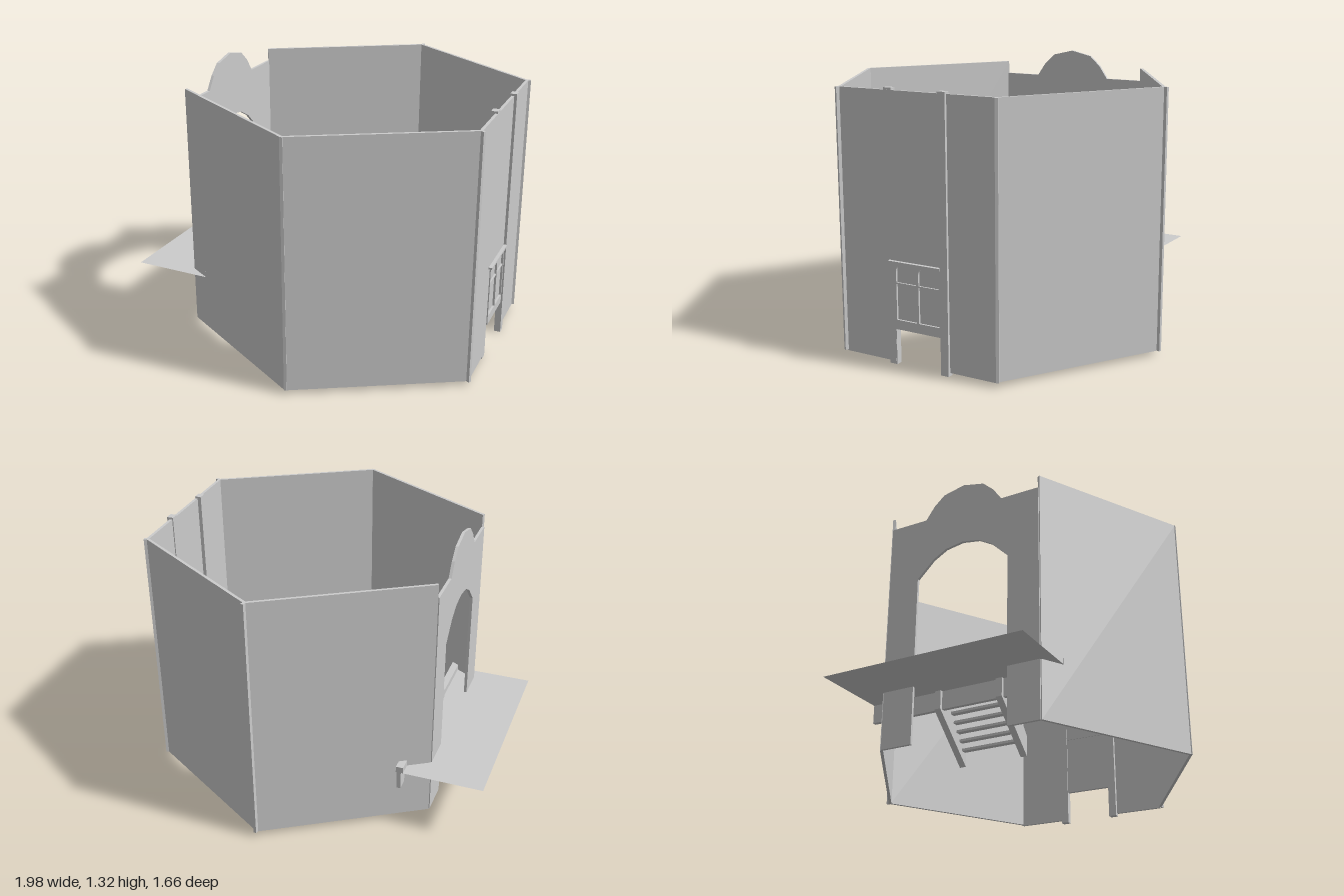
import * as THREE from 'three';

const grey = new THREE.MeshStandardMaterial({ color: 0xcccccc, flatShading: true, side: THREE.DoubleSide });
const BASE = 0.02, TOP = 1.245, THICK = 0.014;

// Corners [x, z], ordered so each wall's local +z points outward
const corners = [[-0.665, -0.08], [-0.265, 0.627], [0.56, 0.627], [0.98, -0.1], [0.56, -0.79], [-0.26, -0.815]];

function add(parent, name, geometry, x = 0, y = 0, z = 0) {
  const mesh = new THREE.Mesh(geometry, grey);
  mesh.name = name;
  mesh.position.set(x, y, z);
  parent.add(mesh);
  return mesh;
}

// Box given by its limits on each axis
function block(parent, name, x0, x1, y0, y1, z0, z1) {
  return add(parent, name, new THREE.BoxGeometry(x1 - x0, y1 - y0, z1 - z0),
    (x0 + x1) / 2, (y0 + y1) / 2, (z0 + z1) / 2);
}

function extrude(points, depth, holes = []) {
  const shape = new THREE.Shape(points.map(p => new THREE.Vector2(...p)));
  shape.holes.push(...holes);
  return new THREE.ExtrudeGeometry(shape, { depth, bevelEnabled: false, curveSegments: 4 });
}

// Group centred on one side, x along the wall and z outward
function side(parent, name, i) {
  const [px, pz] = corners[i], [qx, qz] = corners[(i + 1) % 6];
  const group = new THREE.Group();
  group.name = name;
  group.position.set((px + qx) / 2, 0, (pz + qz) / 2);
  group.rotation.y = Math.atan2(pz - qz, qx - px);
  parent.add(group);
  return { group, half: Math.hypot(qx - px, qz - pz) / 2 };
}

function plainWall(parent, name, i) {
  const { group, half } = side(parent, name, i);
  block(group, 'panel', -half, half, BASE, TOP, -THICK / 2, THICK / 2);
}

// Wall with a faceted doorway and a raised crest
function archWall(parent) {
  const { group, half } = side(parent, 'archWall', 0);
  const crest = [[0.21, 1.18], [0.165, 1.245], [0.11, 1.295], [0, 1.32]];
  const arch = [[0.245, BASE], [0.245, 0.86], [0.16, 0.945], [0.09, 0.985], [0, 1.0]];
  const mirror = pts => pts.slice(0, -1).reverse().map(([x, y]) => [-x, y]);
  const outline = [
    [half, BASE], [half, 1.18], ...crest, ...mirror(crest), [-half, 1.18], [-half, BASE],
    ...mirror(arch).reverse(), [0, 1.0], ...arch.slice(0, -1).reverse(),
  ];
  add(group, 'archPanel', extrude(outline, THICK), 0, 0, -THICK / 2);

  // Landing with its supporting beam
  const cx = -0.034;
  const landing = add(group, 'landing', new THREE.PlaneGeometry(1.01, 0.4), cx, 0.3, 0.09);
  landing.rotation.x = -Math.PI / 2;
  block(group, 'beam', cx - 0.505, cx + 0.505, 0.21, 0.3, -0.125, -0.105);
  block(group, 'beamCap', cx - 0.505, cx + 0.505, 0.3, 0.33, -0.13, -0.095);

  // Stair descending inward between two sloping stringers
  const stringer = [[0.09, 0.21], [0.33, 0], [0.33, 0.1], [0.115, 0.35], [0.09, 0.35]];
  for (const x of [-0.172, 0.15]) {
    const geometry = extrude(stringer, 0.032);
    geometry.rotateY(Math.PI / 2);
    add(group, 'stringer', geometry, x - 0.016);
  }
  const count = 7, run = 0.19 / count;
  for (let i = 0; i < count; i++) {
    const y = 0.3 - i * 0.037, z = -0.13 - i * run;
    block(group, 'tread', -0.158, 0.136, y - 0.012, y, z - run, z);
  }
}

// Wall with two posts and a hanging two-pane window
function gateWall(parent) {
  const { group, half } = side(parent, 'gateWall', 3);
  const t = THICK / 2, low = 0.015;
  block(group, 'sidePanel', -half, -0.126, low, TOP, -t, t);
  block(group, 'sidePanel', 0.141, half, low, TOP, -t, t);
  block(group, 'upperPanel', -0.13, 0.145, 0.48, TOP, -t, t);
  block(group, 'post', -0.162, -0.122, 0, 1.255, -0.025, t - 0.001);
  block(group, 'post', 0.124, 0.164, 0, 1.255, -0.012, 0.02);

  // Window frame with round-shouldered openings over a thin backing
  const pane = (x0, x1, y0, y1, r) => {
    const hole = new THREE.Path();
    hole.moveTo(x0, y0);
    hole.lineTo(x1, y0);
    hole.lineTo(x1, y1 - r);
    hole.quadraticCurveTo(x1, y1, x1 - r, y1);
    hole.lineTo(x0 + r, y1);
    hole.quadraticCurveTo(x0, y1, x0, y1 - r);
    hole.lineTo(x0, y0);
    return hole;
  };
  const frame = [[-0.125, 0.17], [0.126, 0.17], [0.126, 0.48], [-0.125, 0.48]];
  add(group, 'windowFrame', extrude(frame, 0.016,
    [pane(-0.113, -0.006, 0.215, 0.47, 0.03), pane(0.006, 0.114, 0.215, 0.47, 0.03)]), 0, 0, -0.004);
  block(group, 'windowBacking', -0.125, 0.126, 0.17, 0.48, -0.006, 0.002);
  block(group, 'crossBar', -0.113, 0.114, 0.382, 0.388, 0.002, 0.01);
  block(group, 'ledge', -0.15, 0.126, 0.478, 0.488, -0.01, 0.024);
}

export function createModel() {
  const model = new THREE.Group();
  model.name = 'hexagonalEnclosure';
  archWall(model);
  plainWall(model, 'frontWall', 1);
  plainWall(model, 'frontLeftWall', 2);
  gateWall(model);
  plainWall(model, 'backWall', 4);
  plainWall(model, 'backRightWall', 5);

  // Slim corner strips that close the joints
  [[2, 0], [3, 0.012], [4, 0.01], [5, 0.012]].forEach(([i, reach]) => {
    const [x, z] = corners[i], a = Math.atan2(x, z);
    const strip = add(model, 'cornerStrip', new THREE.BoxGeometry(0.014, TOP - BASE, 0.016 + reach),
      x + Math.sin(a) * reach / 2, (TOP + BASE) / 2, z + Math.cos(a) * reach / 2);
    strip.rotation.y = a;
  });
  return model;
}
